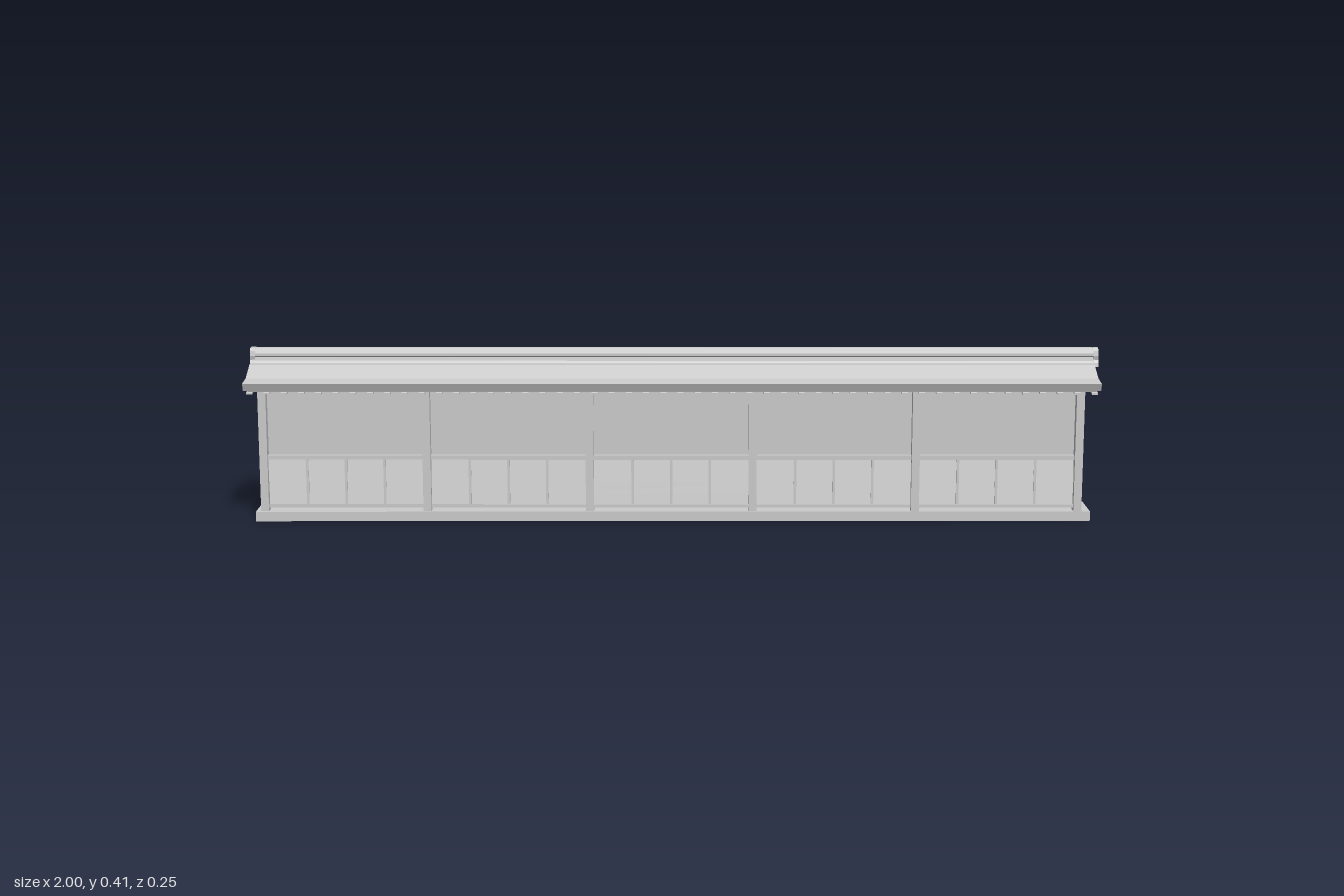
import * as THREE from 'three';

const material = new THREE.MeshStandardMaterial({ color: 0xcccccc, flatShading: true });

export function createModel() {
  const model = new THREE.Group();

  function add(name, geometry, parent = model) {
    const mesh = new THREE.Mesh(geometry, material);
    mesh.name = name;
    parent.add(mesh);
    return mesh;
  }
  function group(name) {
    const g = new THREE.Group();
    g.name = name;
    model.add(g);
    return g;
  }
  // Box given by its limits
  function box(name, x0, x1, y0, y1, z0, z1, parent) {
    const g = new THREE.BoxGeometry(x1 - x0, y1 - y0, z1 - z0);
    g.translate((x0 + x1) / 2, (y0 + y1) / 2, (z0 + z1) / 2);
    return add(name, g, parent);
  }
  // A (z, y) outline swept along x from x0 to x1
  function sweep(name, points, x0, x1, parent) {
    const shape = new THREE.Shape(points.map(([z, y]) => new THREE.Vector2(-z, y)));
    const g = new THREE.ExtrudeGeometry(shape, { depth: x1 - x0, bevelEnabled: false });
    g.rotateY(Math.PI / 2);
    g.translate(x0, 0, 0);
    return add(name, g, parent);
  }
  // Completes a half outline listed from the bottom centre to the top
  const mirrored = half => [...half, ...half.map(([z, y]) => [-z, y]).reverse()];

  // Stone footing, slightly deeper at its left-hand end in plan
  const plan = new THREE.Shape([[-0.99, -0.06], [0.985, -0.055], [0.985, 0.052], [-0.99, 0.052]]
    .map(p => new THREE.Vector2(...p)));
  const footing = new THREE.ExtrudeGeometry(plan, { depth: 0.023, bevelEnabled: false });
  footing.rotateX(-Math.PI / 2);
  add('footing', footing);

  // Plastered wall core with a gabled top, raised just above the footing
  sweep('wallCore', [[-0.032, 0.03], [0.032, 0.03], [0.032, 0.34], [0, 0.353], [-0.032, 0.34]], -0.975, 0.965);

  // Posts, rails, clapboards and battens on both faces
  const bays = 5, firstPost = -0.969, pitch = 0.3848, postHalf = 0.0095;
  for (const side of [1, -1]) {
    const face = group(side > 0 ? 'frontFace' : 'backFace');
    const slab = (name, x0, x1, y0, y1, near, far) =>
      box(name, x0, x1, y0, y1, Math.min(side * near, side * far), Math.max(side * near, side * far), face);

    for (let i = 0; i <= bays; i++) {
      const x = firstPost + i * pitch;
      slab('post', x - postHalf, x + postHalf, 0.023, 0.333, 0.031, 0.053);
      if (i === bays) break;

      const x0 = x + postHalf, x1 = x + pitch - postHalf;
      slab('middleRail', x0, x1, 0.146, 0.156, 0.031, 0.046);
      slab('bottomRail', x0, x1, 0.03, 0.038, 0.031, 0.045);

      // Overlapping boards, thicker at the lower edge
      const boards = 4, y0 = 0.038, h = 0.108 / boards;
      for (let b = 0; b < boards; b++) {
        const y = y0 + b * h;
        const outline = [[0.031, y], [0.041, y], [0.036, y + h], [0.031, y + h]].map(([z, v]) => [side * z, v]);
        sweep('clapboard', side > 0 ? outline : outline.reverse(), x0, x1, face);
      }
      for (let b = 1; b <= 3; b++) {
        const bx = x0 + (x1 - x0) * b / 4;
        slab('batten', bx - 0.003, bx + 0.003, y0, 0.146, 0.031, 0.042);
      }
    }
  }

  // Curved roof covering
  sweep('roof', mirrored([
    [0, 0.359], [0.04, 0.344], [0.075, 0.331], [0.115, 0.323], [0.123, 0.341], [0.075, 0.346], [0.02, 0.37]
  ]), -1, 0.99);

  // Thin boarding under the roof
  sweep('roofBoarding', mirrored([
    [0, 0.356], [0.04, 0.341], [0.075, 0.328], [0.113, 0.3205], [0.114, 0.323], [0.075, 0.332], [0.04, 0.345], [0, 0.36]
  ]).slice(0, -1), -0.99, 0.98);

  // Row of rafters under both eaves
  const rafters = group('rafters');
  const rafterCount = 50;
  const rafter = [
    [0, 0.351], [0.04, 0.336], [0.075, 0.3225], [0.118, 0.315], [0.118, 0.3195], [0.075, 0.329], [0.04, 0.342], [0, 0.357]
  ];
  const rafterOutline = [...rafter, ...rafter.slice(1, -1).map(([z, y]) => [-z, y]).reverse()];
  for (let i = 0; i < rafterCount; i++) {
    const x = -0.985 + 1.96 * i / (rafterCount - 1);
    sweep('rafter', rafterOutline, x - 0.007, x + 0.007, rafters);
  }

  // Stacked ridge: flared base, narrow course and rounded cap
  sweep('ridgeBase', mirrored([[0.021, 0.366], [0.021, 0.372], [0.016, 0.378], [0.014, 0.388]]), -0.995, 0.99);
  const capOutline = mirrored([[0.014, 0.386], [0.0165, 0.389], [0.0165, 0.395], [0.013, 0.403], [0.006, 0.407]]);
  sweep('ridgeCap', capOutline, -0.995, 0.992);

  // End tiles closing the ridge, each with a small boss
  for (const end of [-1, 1]) {
    const tile = group(end < 0 ? 'rightRidgeEnd' : 'leftRidgeEnd');
    sweep('endTile', mirrored([
      [0.022, 0.364], [0.02, 0.373], [0.015, 0.38], [0.0175, 0.39], [0.0155, 0.401], [0.008, 0.4075]
    ]), end < 0 ? -0.999 : 0.987, end < 0 ? -0.987 : 0.999, tile);
    const boss = new THREE.CylinderGeometry(0.004, 0.004, 0.003, 10);
    boss.rotateZ(Math.PI / 2);
    boss.translate(end * 0.9985, 0.379, 0);
    add('boss', boss, tile);
  }

  return model;
}
